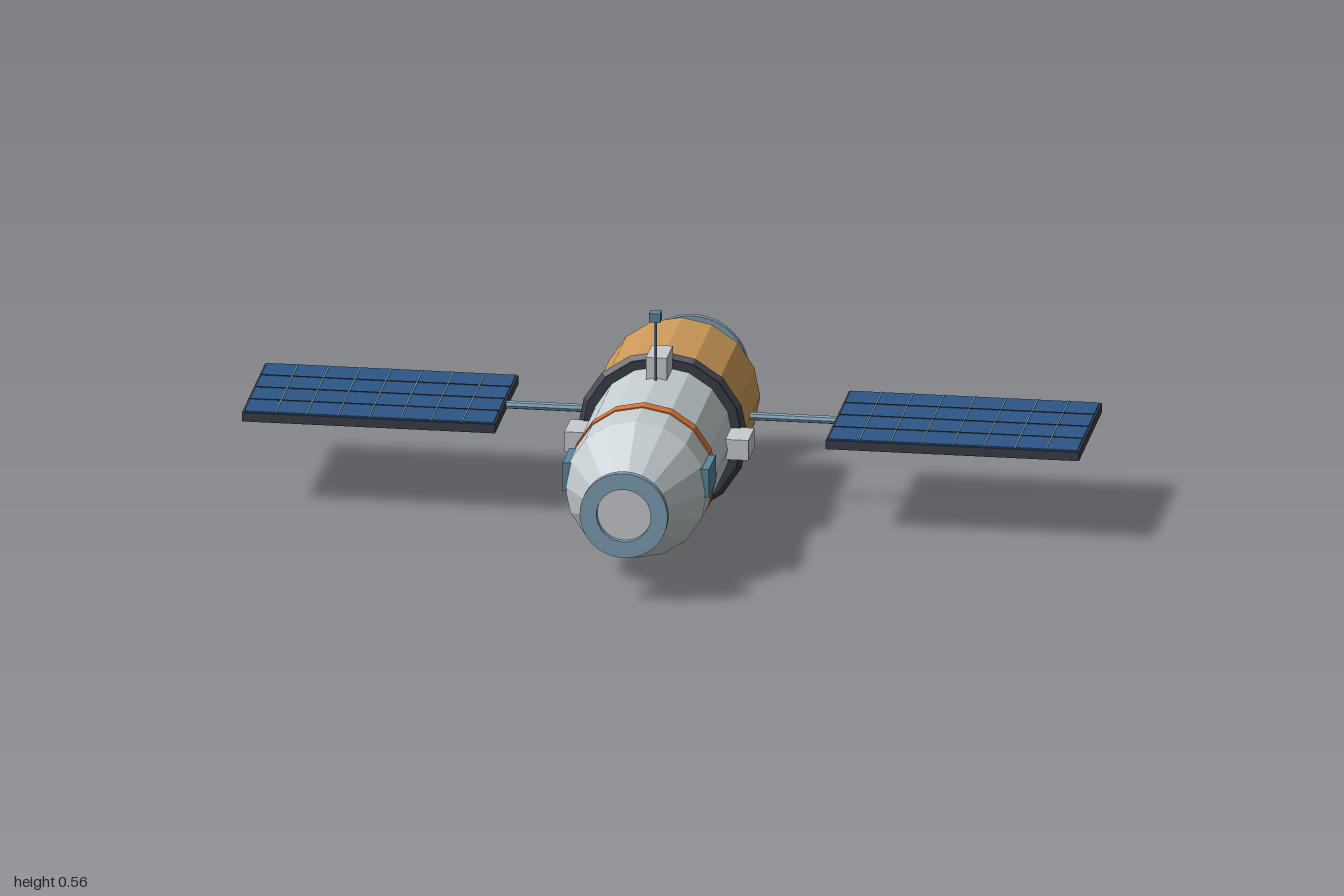
import * as THREE from 'three';

const mat = (name, color, side = THREE.FrontSide) => {
  const m = new THREE.MeshStandardMaterial({ color, side, flatShading: true });
  m.name = name;
  return m;
};

export function createModel() {
  const hull = mat('hull grey', 0xc6ced1);
  const pale = mat('pale grey', 0xc9ccd1);
  const gold = mat('gold foil', 0xcc9a58);
  const orange = mat('orange', 0xd97536);
  const steel = mat('steel blue', 0x7f9fb6);
  const teal = mat('teal', 0x5a889c);
  const dark = mat('dark grey', 0x3b3d49, THREE.DoubleSide);
  const blue = mat('solar blue', 0x2c5788);

  const model = new THREE.Group();
  model.name = 'spacecraft';
  const Y = 0.22; // height of the long axis

  const add = (name, geo, material, x = 0, y = 0, z = 0, parent = model) => {
    const m = new THREE.Mesh(geo, material);
    m.name = name;
    m.position.set(x, y, z);
    parent.add(m);
    return m;
  };
  // Round section along z, from back z0 (radius r0) to front z1 (radius r1)
  const section = (name, material, z0, r0, z1, r1, open = false) => add(name,
    new THREE.CylinderGeometry(r1, r0, z1 - z0, 16, 1, open).rotateX(Math.PI / 2),
    material, 0, Y, (z0 + z1) / 2);
  // Flat ring with a hole, starting at z and growing forward
  const ring = (name, material, z, outer, inner, depth) => {
    const s = new THREE.Shape().absarc(0, 0, outer, 0, Math.PI * 2);
    s.holes.push(new THREE.Path().absarc(0, 0, inner, 0, Math.PI * 2, true));
    return add(name, new THREE.ExtrudeGeometry(s,
      { depth, bevelEnabled: false, curveSegments: 20 }), material, 0, Y, z);
  };

  // Crew section and docking port
  section('hull', hull, -0.06, 0.17, 0.36, 0.17);
  section('noseCone', hull, 0.36, 0.17, 0.5, 0.077);
  section('dockingNeck', dark, 0.495, 0.075, 0.541, 0.075);
  ring('dockingRing', steel, 0.54, 0.105, 0.065, 0.018);
  add('hatch', new THREE.CircleGeometry(0.067, 16), pale, 0, Y, 0.543);
  section('orangeBand', orange, 0.225, 0.173, 0.258, 0.173);

  // Joint ring with a raised ridge
  section('jointRing', dark, -0.087, 0.192, -0.053, 0.192);
  section('jointRidgeBack', dark, -0.074, 0.192, -0.066, 0.204);
  section('jointRidgeFront', dark, -0.066, 0.204, -0.058, 0.192);

  // Service section and engine
  section('serviceModule', gold, -0.368, 0.188, -0.08, 0.188);
  section('engineCollar', dark, -0.405, 0.097, -0.366, 0.072);
  section('engineBell', dark, -0.545, 0.12, -0.403, 0.045, true);
  ring('bellRim', steel, -0.556, 0.134, 0.117, 0.015);

  // Four thruster blocks around the hull
  for (let i = 0; i < 4; i++) {
    const a = i * Math.PI / 2;
    const block = add('thrusterBlock', new THREE.BoxGeometry(0.065, 0.05, 0.094), pale,
      Math.cos(a) * 0.1875, Y + Math.sin(a) * 0.1875, -0.013);
    block.rotation.z = a;
  }

  // Antenna
  add('antennaMast', new THREE.CylinderGeometry(0.004, 0.004, 0.16, 8), steel, 0, 0.46, 0.048);
  add('antennaTip', new THREE.BoxGeometry(0.027, 0.022, 0.027), teal, 0, 0.548, 0.048);

  // Windows, booms and solar wings, mirrored
  for (const s of [-1, 1]) {
    add('window', new THREE.BoxGeometry(0.02, 0.07, 0.11), teal, s * 0.165, 0.245, 0.31);
    add('boom', new THREE.CylinderGeometry(0.01, 0.01, 0.24, 8).rotateZ(Math.PI / 2),
      steel, s * 0.29, 0.222, -0.215);

    const wing = new THREE.Group();
    wing.name = 'solarWing';
    wing.position.set(s * 0.6975, 0, -0.215);
    model.add(wing);
    add('wingPanel', new THREE.BoxGeometry(0.605, 0.022, 0.37), dark, 0, 0.222, 0, wing);
    add('solarCells', new THREE.BoxGeometry(0.595, 0.003, 0.36), blue, 0, 0.2345, 0, wing);
    for (let i = 1; i < 8; i++)
      add('columnLine', new THREE.BoxGeometry(0.004, 0.002, 0.36), steel,
        -0.2975 + i * 0.0744, 0.2362, 0, wing);
    for (let i = 1; i < 4; i++)
      add('rowLine', new THREE.BoxGeometry(0.595, 0.002, 0.003), dark,
        0, 0.2366, -0.18 + i * 0.09, wing);
  }
  return model;
}
